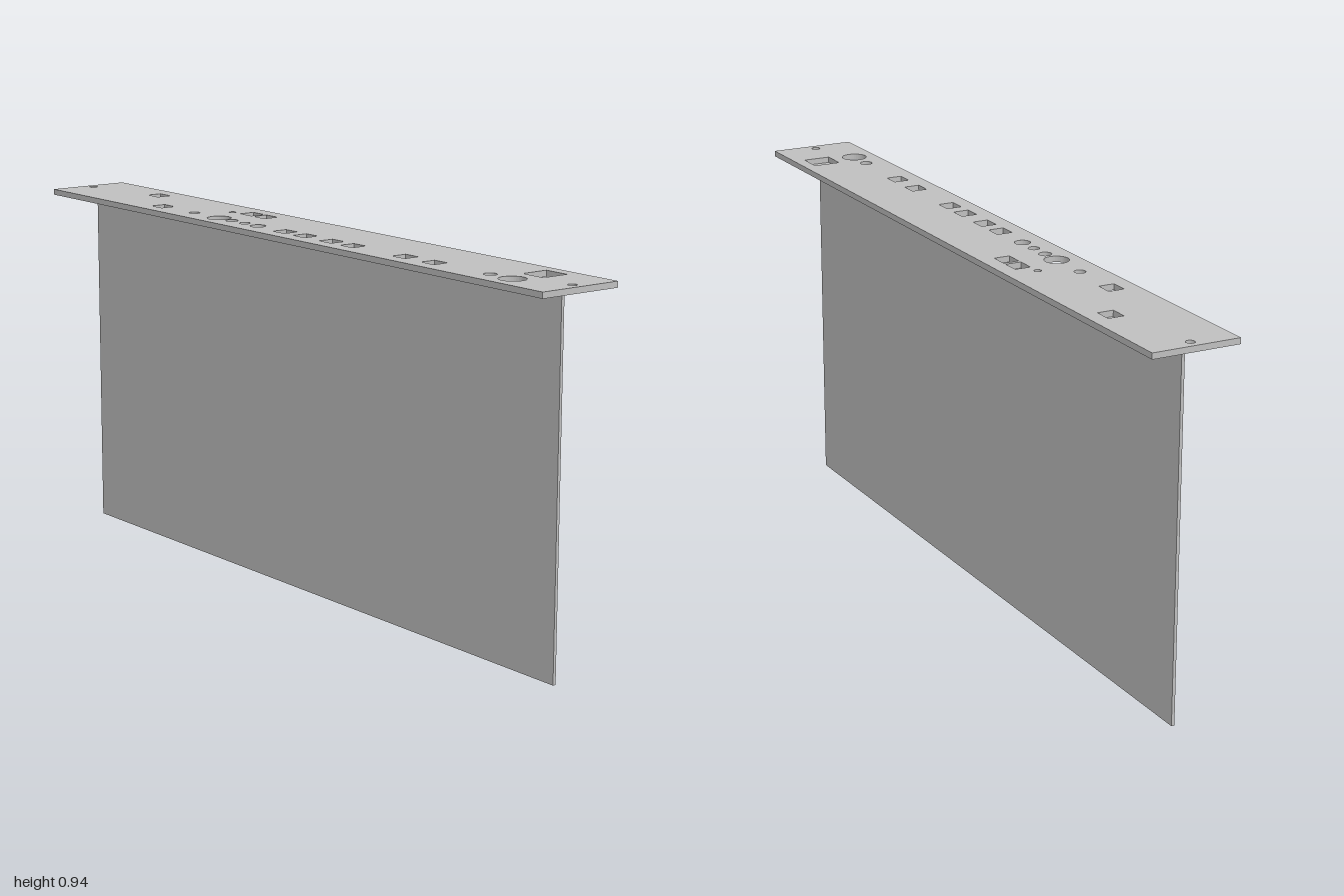
import * as THREE from 'three';

const grey = new THREE.MeshStandardMaterial({ color: 0xbfbfbf });
grey.name = 'plainGrey';

const TOP = 0.935, PLATE_BOTTOM = 0.92, FLANGE_BOTTOM = 0.91;
const PORT_X = -0.053; // centre line of the main row of cut-outs

function rectPath(path, x0, z0, x1, z1) {
  path.moveTo(x0, z0).lineTo(x1, z0).lineTo(x1, z1).lineTo(x0, z1).closePath();
  return path;
}

function box(name, x0, x1, y0, y1, z0, z1) {
  const geometry = new THREE.BoxGeometry(x1 - x0, y1 - y0, z1 - z0);
  geometry.translate((x0 + x1) / 2, (y0 + y1) / 2, (z0 + z1) / 2);
  const mesh = new THREE.Mesh(geometry, grey);
  mesh.name = name;
  return mesh;
}

// Face plate, drawn in x/z and extruded downwards, with all its cut-outs
function makeFacePlate() {
  const shape = rectPath(new THREE.Shape(), -0.113, -1, 0.113, 1);
  const rectHole = (x, z, w, d) => shape.holes.push(
    rectPath(new THREE.Path(), x - w / 2, z - d / 2, x + w / 2, z + d / 2));
  const roundHole = (x, z, r) => {
    const path = new THREE.Path();
    path.absarc(x, z, r, 0, Math.PI * 2, true);
    shape.holes.push(path);
  };

  // Main row: square ports
  for (const z of [-0.55, -0.011, 0.072, 0.178, 0.261, 0.458, 0.564]) {
    rectHole(PORT_X, z, 0.041, 0.046);
  }
  // Main row: round ports [z, radius]
  for (const [z, r] of [[-0.405, 0.014], [-0.294, 0.031], [-0.238, 0.016],
    [-0.182, 0.014], [-0.125, 0.02], [0.76, 0.016], [0.835, 0.033]]) {
    roundHole(PORT_X, z, r);
  }
  // Second row, above the flange
  for (const z of [-0.724, -0.294, -0.236]) rectHole(0.052, z, 0.041, 0.047);
  roundHole(0.031, -0.352, 0.009);
  rectHole(0.046, 0.833, 0.072, 0.068);
  // Mounting holes at both ends
  for (const z of [-0.973, 0.973]) roundHole(0, z, 0.011);

  const geometry = new THREE.ExtrudeGeometry(shape, {
    depth: TOP - PLATE_BOTTOM, bevelEnabled: false, curveSegments: 16,
  });
  geometry.rotateX(Math.PI / 2).translate(0, TOP, 0);
  const mesh = new THREE.Mesh(geometry, grey);
  mesh.name = 'facePlate';
  return mesh;
}

export function createModel() {
  const model = new THREE.Group();
  model.name = 'panelAssembly';
  model.add(
    makeFacePlate(),
    box('uprightPanel', -0.005, 0.003, 0, PLATE_BOTTOM, -0.945, 0.945),
    box('flange', 0.003, 0.07, FLANGE_BOTTOM, PLATE_BOTTOM, -0.945, 0.945),
  );
  return model;
}
